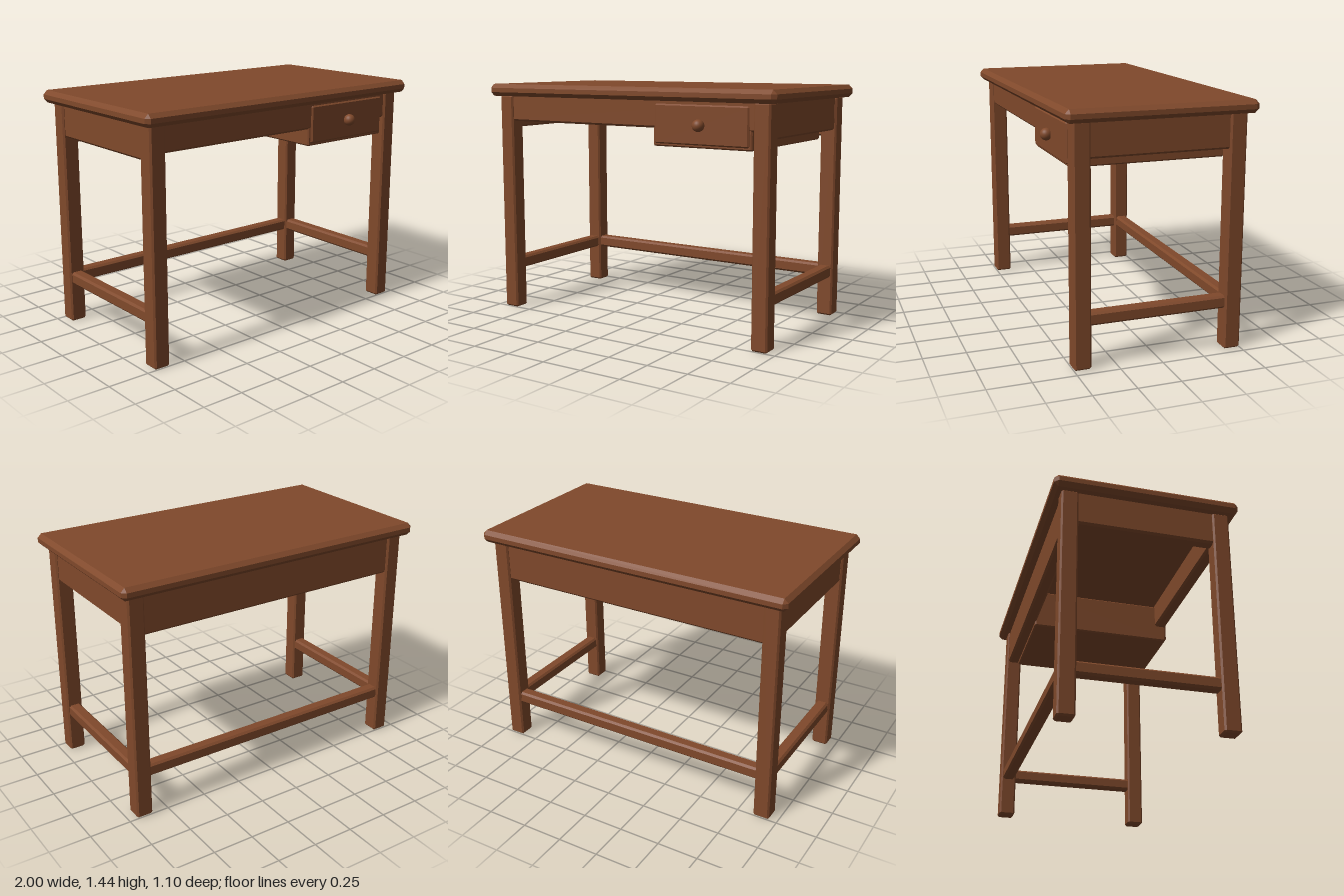
import * as THREE from 'three';
import { ConvexGeometry } from 'three/addons/geometries/ConvexGeometry.js';

const wood = new THREE.MeshStandardMaterial({ color: 0x80492b });
wood.name = 'brown wood';

// Box between two corners with every edge chamfered by c
function chamferBox(name, [x0, y0, z0], [x1, y1, z1], c) {
  const h = [(x1 - x0) / 2, (y1 - y0) / 2, (z1 - z0) / 2];
  const points = [];
  for (const sx of [-1, 1]) for (const sy of [-1, 1]) for (const sz of [-1, 1]) {
    for (let axis = 0; axis < 3; axis++) {
      const [x, y, z] = h.map((v, i) => (i === axis ? v : v - c));
      points.push(new THREE.Vector3(sx * x, sy * y, sz * z));
    }
  }
  const mesh = new THREE.Mesh(new ConvexGeometry(points), wood);
  mesh.position.set((x0 + x1) / 2, (y0 + y1) / 2, (z0 + z1) / 2);
  mesh.name = name;
  return mesh;
}

export function createModel() {
  const desk = new THREE.Group();
  desk.name = 'desk';

  // Table top
  desk.add(chamferBox('tableTop', [-1, 1.365, -0.55], [1, 1.44, 0.55], 0.024));

  // Legs, side aprons and side stretchers
  for (const s of [-1, 1]) {
    const side = s > 0 ? 'left' : 'right';
    const x = s * 0.9;
    for (const t of [-1, 1]) {
      const z = t * 0.45;
      desk.add(chamferBox(side + (t > 0 ? 'FrontLeg' : 'BackLeg'),
        [x - 0.05, 0, z - 0.05], [x + 0.05, 1.37, z + 0.05], 0.01));
    }
    desk.add(chamferBox(side + 'Apron', [x - 0.0375, 1.167, -0.425], [x + 0.0375, 1.38, 0.425], 0.012));
    desk.add(chamferBox(side + 'Stretcher', [x - 0.0375, 0.245, -0.425], [x + 0.0375, 0.32, 0.425], 0.012));
  }

  // Front and back rails
  desk.add(chamferBox('frontApron', [-0.875, 1.208, 0.4125], [0.875, 1.38, 0.4875], 0.012));
  desk.add(chamferBox('backApron', [-0.875, 1.127, -0.4875], [0.875, 1.38, -0.4125], 0.012));
  desk.add(chamferBox('backStretcher', [-0.875, 0.245, -0.4875], [0.875, 0.32, -0.4125], 0.012));

  // Drawer with raised front and round knob
  const drawer = new THREE.Group();
  drawer.name = 'drawer';
  drawer.add(chamferBox('drawerBox', [0.2, 1.105, -0.42], [0.835, 1.36, 0.484], 0.008));
  drawer.add(chamferBox('drawerFront', [0.217, 1.122, 0.45], [0.82, 1.347, 0.497], 0.008));
  const knob = new THREE.Mesh(new THREE.SphereGeometry(0.035, 24, 16), wood);
  knob.name = 'drawerKnob';
  knob.position.set(0.517, 1.234, 0.515);
  drawer.add(knob);
  desk.add(drawer);

  return desk;
}
